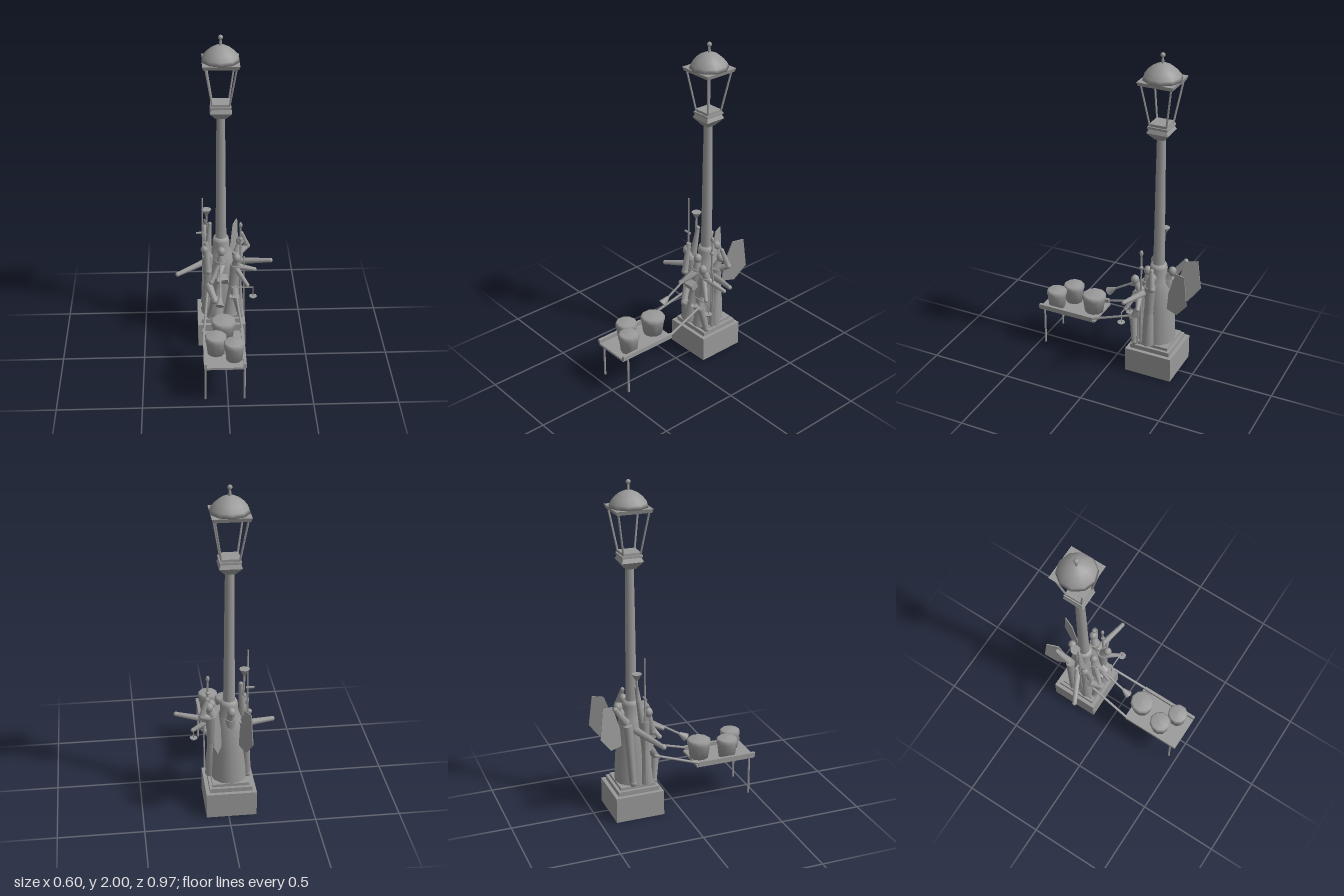
import * as THREE from 'three';

export function createModel() {
  const root = new THREE.Group();
  root.name = 'streetLampMonument';
  const iron = new THREE.MeshStandardMaterial({ color: 0x999999 });
  iron.name = 'grey iron';
  const CX = -0.017, CZ = -0.26; // lamp axis

  const add = (name, geo, x = 0, y = 0, z = 0, parent = root) => {
    const m = new THREE.Mesh(geo, iron);
    m.name = name;
    m.position.set(x, y, z);
    parent.add(m);
    return m;
  };
  const box = (name, w, y0, y1, d, x = CX, z = CZ) =>
    add(name, new THREE.BoxGeometry(w, y1 - y0, d), x, (y0 + y1) / 2, z);
  const lathe = (name, pts, seg, x = CX, y = 0, z = CZ) =>
    add(name, new THREE.LatheGeometry(pts.map(p => new THREE.Vector2(...p)), seg), x, y, z);
  // tapered rod between two points
  const rod = (name, a, b, r1, r2 = r1, seg = 8) => {
    const A = new THREE.Vector3(...a), d = new THREE.Vector3(...b).sub(A);
    const m = add(name, new THREE.CylinderGeometry(r2, r1, d.length(), seg));
    m.position.copy(A).addScaledVector(d, 0.5);
    m.quaternion.setFromUnitVectors(new THREE.Vector3(0, 1, 0), d.normalize());
    return m;
  };
  const ball = (name, x, y, z, r, sy = 1) =>
    add(name, new THREE.SphereGeometry(r, 10, 8), x, y, z).scale.set(1, sy, 1);
  // square section that changes width
  const square = (name, lo, hi, y0, y1) => {
    const g = new THREE.CylinderGeometry(hi * Math.SQRT2, lo * Math.SQRT2, y1 - y0, 4).toNonIndexed();
    g.rotateY(Math.PI / 4);
    g.computeVertexNormals();
    return add(name, g, CX, (y0 + y1) / 2, CZ);
  };

  // Stepped base
  box('baseBlock', 0.295, 0, 0.155, 0.295);
  box('lowerPlinth', 0.25, 0.155, 0.182, 0.25);
  box('upperPlinth', 0.215, 0.182, 0.2, 0.215);

  // Bell-shaped pedestal and lamp post
  lathe('pedestal', [[0.108, 0.19], [0.104, 0.3], [0.096, 0.42], [0.085, 0.54], [0.066, 0.6],
    [0.052, 0.64], [0.052, 0.68], [0.045, 0.705], [0, 0.712]], 12);
  lathe('post', [[0.035, 0.7], [0.032, 0.9], [0.029, 1.25], [0.026, 1.48], [0.026, 1.52]], 10);

  // Capital
  square('capitalFlare', 0.028, 0.064, 1.5, 1.545);
  square('capitalTaper', 0.064, 0.053, 1.545, 1.57);
  box('capitalPlate', 0.12, 1.57, 1.583, 0.12);
  box('lanternFloor', 0.104, 1.583, 1.598, 0.104);

  // Lantern frame
  for (const sx of [-1, 1]) for (const sz of [-1, 1])
    rod('lanternBar', [CX + sx * 0.05, 1.59, CZ + sz * 0.05],
      [CX + sx * 0.09, 1.84, CZ + sz * 0.09], 0.006, 0.006, 6);

  // Roof and finial
  square('roofEave', 0.1, 0.107, 1.828, 1.85);
  lathe('roofDome', [[0, 1.846], [0.113, 1.85], [0.105, 1.872], [0.083, 1.9], [0.054, 1.924],
    [0.024, 1.938], [0, 1.942]], 10);
  rod('finialStem', [CX, 1.935, CZ], [CX, 1.98, CZ], 0.009, 0.006);
  ball('finialBall', CX, 1.986, CZ, 0.014);

  // Bench with rails, legs and shafts
  box('benchTop', 0.225, 0.25, 0.264, 0.375, -0.017, 0.298);
  for (const s of [-1, 1]) {
    const x = CX + s * 0.114;
    box('benchRail', 0.018, 0.262, 0.288, 0.367, x, 0.303);
    rod('benchLeg', [x, 0.02, 0.45], [x, 0.27, 0.45], 0.007, 0.007, 6);
    rod('benchShaft', [x, 0.278, 0.125], [CX + s * 0.088, 0.365, -0.15], 0.008, 0.008, 6);
  }

  // Tubs
  for (const [x, z, r] of [[-0.017, 0.167, 0.074], [-0.066, 0.33, 0.065], [0.038, 0.395, 0.062]])
    lathe('tub', [[0, 0.262], [r * 0.78, 0.262], [r * 0.94, 0.35], [r, 0.352], [r, 0.374],
      [r * 0.85, 0.383], [0, 0.388]], 10, x, 0, z);

  // Thin wings at the back
  for (const s of [-1, 1]) {
    const g = new THREE.BufferGeometry();
    const rim = [[0.4, 0.71], [0.465, 0.715], [0.485, 0.53], [0.415, 0.44], [0.34, 0.445], [0.35, 0.56]];
    const sh = new THREE.Shape(rim.map(p => new THREE.Vector2(...p)));
    g.copy(new THREE.ExtrudeGeometry(sh, { depth: 0.006, bevelEnabled: false }));
    g.rotateY(Math.PI / 2); // outline now runs toward -z
    const p = g.attributes.position;
    for (let i = 0; i < p.count; i++)
      p.setX(i, p.getX(i) + CX + s * (0.065 + (-p.getZ(i) - 0.37) * 0.4));
    g.computeVertexNormals();
    add('wing', g);
  }

  // Figures gathered round the pedestal: skirt, torso and head
  const figures = [
    // foot point, shoulder point, head point
    ['leftFigure', [-0.1, 0.2, -0.2], [-0.1, 0.6, -0.21], [-0.118, 0.655, -0.19]],
    ['frontFigure', [-0.05, 0.2, -0.155], [-0.02, 0.57, -0.19], [-0.017, 0.638, -0.19]],
    ['frontRightFigure', [0.03, 0.2, -0.165], [0.07, 0.55, -0.18], [0.075, 0.615, -0.15]],
    ['rightFigure', [0.08, 0.2, -0.24], [0.085, 0.6, -0.25], [0.1, 0.665, -0.27]],
    ['backFigure', [-0.02, 0.2, -0.3], [-0.02, 0.61, -0.31], [-0.02, 0.67, -0.345]],
  ];
  for (const [name, foot, chest, head] of figures) {
    const waist = foot.map((v, i) => v + (chest[i] - v) * 0.55);
    rod(name + 'Skirt', foot, waist, 0.042, 0.026);
    rod(name + 'Torso', waist, chest, 0.026, 0.034);
    rod(name + 'Neck', chest, head, 0.028, 0.012);
    ball(name + 'Head', ...head, 0.025, 1.2);
  }

  // Arms and legs
  const limbs = [
    [[-0.09, 0.54, -0.26], [-0.285, 0.5, -0.16], 0.022, 0.014],
    [[0.07, 0.55, -0.225], [0.283, 0.58, -0.175], 0.022, 0.013],
    [[-0.1, 0.58, -0.22], [-0.085, 0.8, -0.25], 0.024, 0.012],
    [[-0.11, 0.7, -0.2], [-0.1, 0.52, -0.16], 0.016, 0.02],
    [[0.08, 0.58, -0.25], [0.145, 0.62, -0.29], 0.024, 0.018],
    [[0.145, 0.62, -0.29], [0.11, 0.72, -0.27], 0.018, 0.012],
    [[0.07, 0.54, -0.18], [0.19, 0.49, -0.22], 0.022, 0.012],
    [[0.06, 0.55, -0.17], [0.14, 0.44, -0.12], 0.02, 0.012],
    [[-0.03, 0.55, -0.17], [-0.08, 0.47, -0.11], 0.02, 0.014],
    [[-0.01, 0.55, -0.18], [-0.04, 0.5, -0.075], 0.02, 0.012],
    [[-0.1, 0.42, -0.18], [-0.06, 0.33, -0.12], 0.026, 0.02],
    [[-0.06, 0.35, -0.13], [-0.09, 0.2, -0.15], 0.024, 0.018],
    [[0.05, 0.42, -0.18], [0.07, 0.34, -0.135], 0.028, 0.022],
    [[0.07, 0.35, -0.14], [0.1, 0.2, -0.16], 0.024, 0.018],
    [[-0.1, 0.6, -0.32], [-0.115, 0.7, -0.39], 0.024, 0.014],
    [[-0.1, 0.58, -0.31], [-0.12, 0.22, -0.29], 0.028, 0.022],
  ];
  for (const [a, b, r1, r2] of limbs) {
    rod('limb', a, b, r1, r2);
    ball('limbEnd', ...b, r2 * 1.08);
  }
  box('heldBook', 0.07, 0.455, 0.495, 0.045, -0.015, -0.135).rotation.x = 0.4;

  // Tall staff with crossbar and cup
  rod('tallStaff', [-0.13, 0.2, -0.215], [-0.13, 0.995, -0.215], 0.006, 0.005, 6);
  rod('staffCrossbar', [-0.168, 0.755, -0.22], [-0.12, 0.755, -0.22], 0.007, 0.007, 6);
  rod('cupStem', [-0.1, 0.72, -0.25], [-0.105, 0.865, -0.255], 0.007, 0.007, 6);
  rod('cup', [-0.105, 0.86, -0.255], [-0.105, 0.898, -0.255], 0.009, 0.031);

  // Spear with knobs and a shorter pole
  rod('spear', [0.1, 0.2, -0.2], [0.1, 0.82, -0.2], 0.007, 0.006, 6);
  ball('spearTip', 0.1, 0.815, -0.2, 0.011, 1.8);
  ball('spearKnob', 0.1, 0.72, -0.2, 0.013);
  rod('shortPole', [0.122, 0.21, -0.19], [0.122, 0.6, -0.19], 0.005, 0.005, 6);

  // Balance scales
  rod('scaleBeam', [0.045, 0.43, -0.108], [0.177, 0.43, -0.108], 0.004, 0.004, 6);
  for (const x of [0.052, 0.175]) {
    rod('scaleChain', [x, 0.365, -0.108], [x, 0.43, -0.108], 0.003, 0.003, 5);
    rod('scalePan', [x, 0.353, -0.108], [x, 0.367, -0.108], 0.012, 0.025);
  }

  // Long ladle reaching forward
  rod('ladleHandle', [-0.02, 0.59, -0.2], [-0.033, 0.44, 0.04], 0.007, 0.007, 6);
  rod('ladleBowl', [-0.032, 0.447, 0.032], [-0.036, 0.415, 0.075], 0.009, 0.027);

  return root;
}
